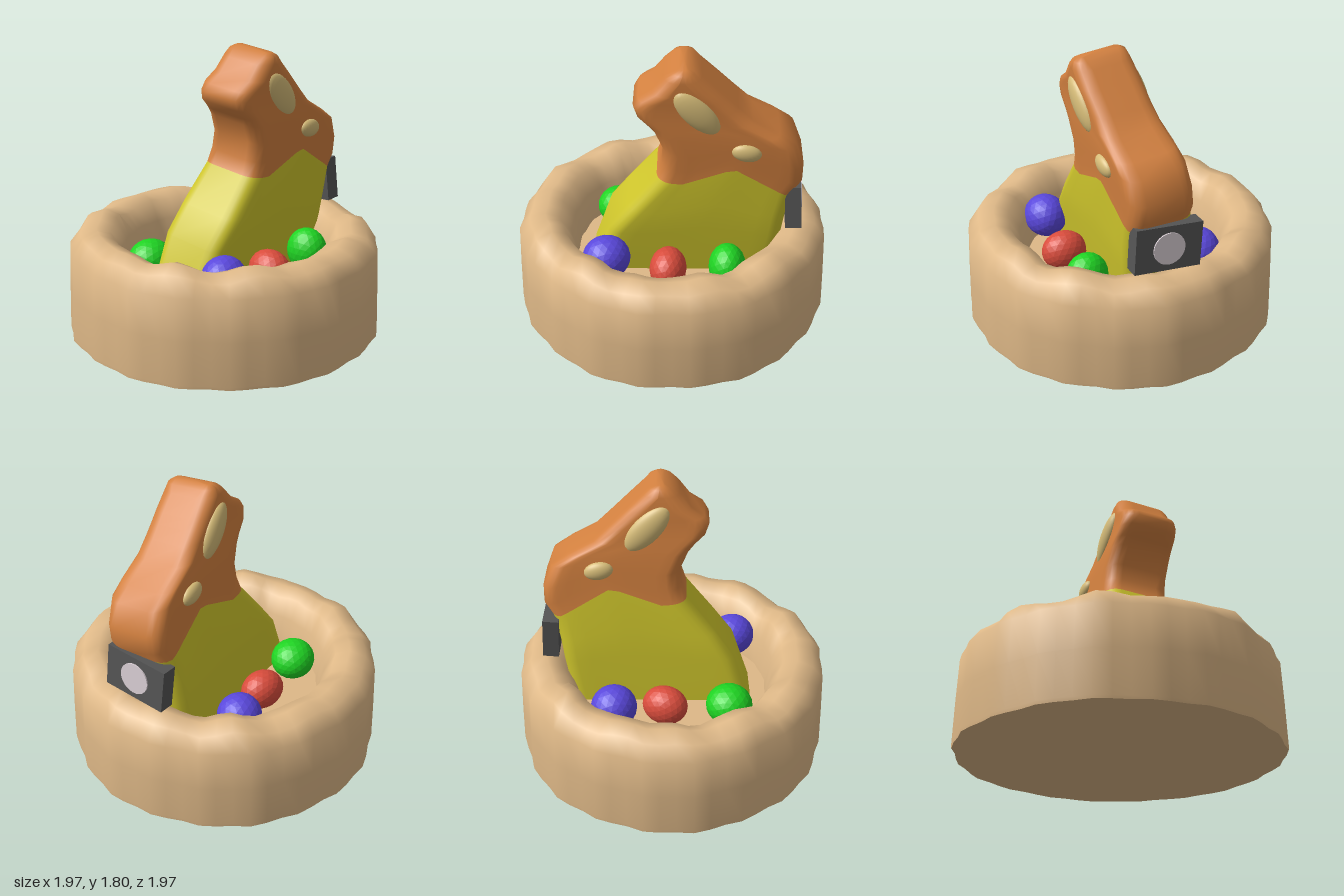
import * as THREE from 'three';
import { mergeVertices, toCreasedNormals } from 'three/addons/utils/BufferGeometryUtils.js';

function mat(name, color) {
  const m = new THREE.MeshStandardMaterial({ color });
  m.name = name;
  return m;
}

function mesh(name, geometry, material, parent) {
  const m = new THREE.Mesh(geometry, material);
  m.name = name;
  parent.add(m);
  return m;
}

// Rows of the hare, bottom to top: left x, left y, right x, right y, mid bump, half depth
const ROWS = [
  [-0.50, 0.36, 0.64, 0.36, 0, 0.21],
  [-0.39, 0.67, 0.69, 0.65, 0.05, 0.225],
  [-0.26, 0.84, 0.71, 0.80, 0.10, 0.225],
  [-0.08, 1.07, 0.75, 0.96, 0.16, 0.21],
  [-0.05, 1.16, 0.80, 1.04, 0.14, 0.205],
  [-0.04, 1.27, 0.80, 1.15, 0.10, 0.205],
  [-0.09, 1.39, 0.75, 1.29, 0.04, 0.20],
  [-0.13, 1.44, 0.65, 1.36, 0.03, 0.195],
  [-0.19, 1.50, 0.49, 1.45, 0, 0.19],
  [-0.21, 1.56, 0.40, 1.54, 0, 0.185],
  [-0.18, 1.61, 0.33, 1.61, 0, 0.185],
  [-0.10, 1.66, 0.28, 1.66, 0, 0.185],
  [-0.03, 1.75, 0.19, 1.75, 0, 0.18],
  [0.02, 1.79, 0.15, 1.79, 0, 0.165],
  [0.06, 1.81, 0.11, 1.81, 0, 0.13],
];
const COLOUR_ROW = 3;

// Rounded rectangle section, its height bent into a peak along the flanks
function section([xl, yl, xr, yr, bump, d]) {
  const w = (xr - xl) / 2, cx = (xl + xr) / 2, r = Math.min(0.09, w * 0.9, d * 0.9);
  const flat = [];
  const corner = (sx, sz, a0) => {
    for (let i = 0; i <= 4; i++) {
      const a = a0 + (i / 4) * Math.PI / 2;
      flat.push([cx + sx * (w - r) + r * Math.cos(a), sz * (d - r) + r * Math.sin(a)]);
    }
  };
  const flank = (sx, sz) => {
    for (let i = 1; i < 10; i++) flat.push([cx + sx * (w - r) * (1 - i / 5), sz * d]);
  };
  corner(1, 1, 0);
  flank(1, 1);
  corner(-1, 1, Math.PI / 2);
  corner(-1, -1, Math.PI);
  flank(-1, -1);
  corner(1, -1, Math.PI * 1.5);
  return flat.map(([x, z]) => {
    const u = (x - xl) / (xr - xl);
    const peak = Math.max(0, u < 0.56 ? (u - 0.18) / 0.38 : (0.94 - u) / 0.38);
    return [x, yl + (yr - yl) * u + bump * peak, z];
  });
}

// Loft through all rows; one geometry group per colour
function hareGeometry() {
  const rings = ROWS.map(section), n = rings[0].length, pos = rings.flat(2), idx = [];
  let split = 0;
  for (let j = 0; j < rings.length - 1; j++) {
    if (j === COLOUR_ROW) split = idx.length;
    for (let i = 0; i < n; i++) {
      const a = j * n + i, b = j * n + (i + 1) % n;
      idx.push(a, a + n, b, b, a + n, b + n);
    }
  }
  const top = (rings.length - 1) * n, tip = pos.length / 3;
  pos.push(0.085, 1.815, 0);
  for (let i = 0; i < n; i++) idx.push(top + i, tip, top + (i + 1) % n);
  const g = new THREE.BufferGeometry();
  g.setAttribute('position', new THREE.Float32BufferAttribute(pos, 3));
  g.setIndex(idx);
  g.computeVertexNormals();
  g.addGroup(0, split, 0);
  g.addGroup(split, idx.length - split, 1);
  return g;
}

// Thick bowl with an uneven, lumpy wall and rim
function nestGeometry() {
  const profile = [[0, 0.01], [0.98, 0.01], [0.982, 0.03], [0.975, 0.3], [0.965, 0.56], [0.9, 0.645],
    [0.8, 0.675], [0.71, 0.64], [0.645, 0.52], [0.61, 0.33], [0, 0.33]];
  let g = new THREE.LatheGeometry(profile.map(p => new THREE.Vector2(...p)), 60);
  g.deleteAttribute('uv');
  g.deleteAttribute('normal');
  const p = g.attributes.position;
  for (let i = 0; i < p.count; i++) {
    const x = p.getX(i), y = p.getY(i), z = p.getZ(i), r = Math.hypot(x, z);
    if (r < 0.1) continue;
    const a = Math.atan2(z, x);
    const k = 1 + 0.009 * Math.sin(20 * a) + 0.006 * Math.sin(7 * a + 1);
    const lift = y > 0.6 ? 0.014 * Math.sin(13 * a + 6 * r) + 0.012 * Math.sin(9 * a + 2) : 0;
    p.setXYZ(i, x * k, y + lift, z * k);
  }
  g = mergeVertices(g, 1e-4);
  return toCreasedNormals(g, 0.9);
}

export function createModel() {
  const model = new THREE.Group();
  model.name = 'hareInNest';
  const straw = mat('straw', 0xdeb887);
  const brown = mat('brown', 0xd2803f);
  const yellow = mat('yellow', 0xcfc62c);
  const cream = mat('cream', 0xd6bc78);
  const grey = mat('darkGrey', 0x555555);
  const pale = mat('palePink', 0xdacfd5);
  const red = mat('red', 0xd94c3c);
  const green = mat('green', 0x1fd423);
  const blue = mat('blue', 0x5a48dc);

  mesh('nest', nestGeometry(), straw, model);

  // Hare, leaning and turned slightly
  const hare = new THREE.Group();
  hare.name = 'hare';
  hare.position.set(0, 0, -0.005);
  hare.rotation.set(0.1, 0.08, 0);
  model.add(hare);
  mesh('hareBody', hareGeometry(), [yellow, brown], hare);

  // Ear and eye spots on both flanks
  const ball = new THREE.SphereGeometry(1, 24, 16);
  for (const side of [1, -1]) {
    const ear = mesh('earSpot', ball, cream, hare);
    ear.position.set(0.165, 1.55, side * 0.175);
    ear.scale.set(0.185, 0.085, 0.05);
    ear.rotation.z = -0.83;
    const eye = mesh('eye', ball, cream, hare);
    eye.position.set(0.455, 1.285, side * 0.2);
    eye.scale.set(0.09, 0.058, 0.04);
    eye.rotation.z = -0.2;
  }

  // Tag at the chest with a pale disc
  const tag = new THREE.Group();
  tag.name = 'tag';
  tag.position.set(0.755, 0.84, 0.025);
  tag.rotation.set(-0.075, 0.04, 0.06);
  model.add(tag);
  mesh('tagPlate', new THREE.BoxGeometry(0.1, 0.28, 0.42), grey, tag);
  const disc = mesh('tagDisc', new THREE.CylinderGeometry(0.1, 0.1, 0.009, 24), pale, tag);
  disc.rotation.z = Math.PI / 2;
  disc.position.x = 0.054;

  // Eggs: material, position, radii, turn
  const shell = new THREE.IcosahedronGeometry(1, 3);
  shell.computeVertexNormals();
  const eggs = [
    [green, [-0.38, 0.45, -0.275], [0.147, 0.13, 0.14], 0],
    [red, [0.02, 0.46, -0.325], [0.145, 0.125, 0.115], -0.25],
    [blue, [0.335, 0.48, -0.39], [0.145, 0.14, 0.14], 0.3],
    [blue, [-0.37, 0.51, 0.385], [0.15, 0.14, 0.138], 0.3],
    [red, [0.015, 0.46, 0.39], [0.115, 0.13, 0.145], 0],
    [green, [0.38, 0.49, 0.37], [0.115, 0.145, 0.135], 0.1],
  ];
  for (const [m, p, s, turn] of eggs) {
    const egg = mesh('egg', shell, m, model);
    egg.position.set(...p);
    egg.scale.set(...s);
    egg.rotation.y = turn;
  }
  return model;
}
